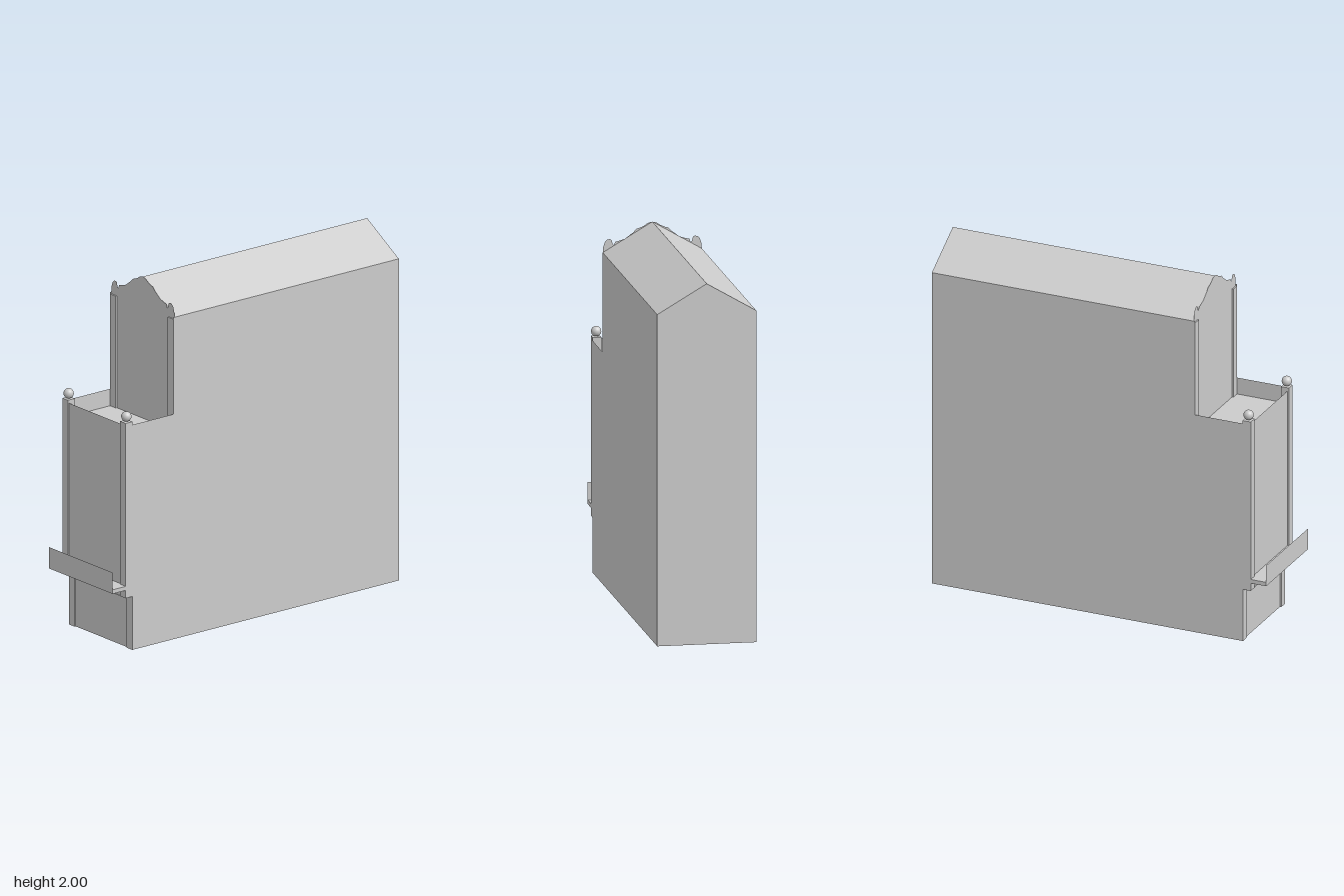
import * as THREE from 'three';

const W = 0.273, BACK = -0.995, UPPER = 0.572, LOWER = 0.903, BASE = 0.857;
const EAVES = 1.84, RIDGE = 2, DECK = 1.19, PARAPET = 1.287, JUT = 0.305;
const POST = 0.048, RECESS = 0.008;

export function createModel() {
  const model = new THREE.Group();
  const mat = new THREE.MeshStandardMaterial({ color: 0xcccccc, side: THREE.DoubleSide });

  const add = (name, geometry, x = 0, y = 0, z = 0) => {
    const mesh = new THREE.Mesh(geometry, mat);
    mesh.name = name;
    mesh.position.set(x, y, z);
    model.add(mesh);
    return mesh;
  };
  const outline = (pts) => new THREE.ShapeGeometry(new THREE.Shape(pts.map(([a, b]) => new THREE.Vector2(a, b))));
  // Box given by its extents
  const box = (name, x0, x1, y0, y1, z0, z1) =>
    add(name, new THREE.BoxGeometry(x1 - x0, y1 - y0, z1 - z0), (x0 + x1) / 2, (y0 + y1) / 2, (z0 + z1) / 2);
  // Upright sheet facing the front
  const wall = (name, halfWidth, y0, y1, z) =>
    add(name, new THREE.PlaneGeometry(halfWidth * 2, y1 - y0), 0, (y0 + y1) / 2, z);
  // Level sheet
  const deck = (name, halfWidth, y, z0, z1) =>
    add(name, new THREE.PlaneGeometry(halfWidth * 2, z1 - z0).rotateX(-Math.PI / 2), 0, y, (z0 + z1) / 2);

  // Side walls, stepped in profile (z, y)
  const profile = [[BACK, 0], [BASE, 0], [BASE, JUT], [LOWER, JUT], [LOWER, PARAPET],
    [UPPER, PARAPET], [UPPER, EAVES], [BACK, EAVES]];
  for (const s of [-1, 1]) {
    const side = add(s > 0 ? 'leftWall' : 'rightWall', outline(profile.map(([z, y]) => [-z, y])), s * W);
    side.rotation.y = Math.PI / 2;
  }

  // Back wall with its plain gable
  add('backWall', outline([[-W, 0], [W, 0], [W, EAVES], [0, RIDGE], [-W, EAVES]]).rotateY(Math.PI), 0, 0, BACK);

  // Pitched roof
  const slope = Math.hypot(W, RIDGE - EAVES), pitch = Math.atan2(RIDGE - EAVES, W);
  const roofLength = UPPER - RECESS - BACK;
  for (const s of [-1, 1]) {
    const roof = add(s > 0 ? 'leftRoof' : 'rightRoof',
      new THREE.PlaneGeometry(slope, roofLength).rotateX(-Math.PI / 2),
      s * W / 2, (EAVES + RIDGE) / 2, (UPPER - RECESS + BACK) / 2);
    roof.rotation.z = -s * pitch;
  }

  // Upper front wall with ornamental gable and scrolled shoulders
  const crest = [[W, EAVES], [0.271, 1.87], [0.262, 1.897], [0.25, 1.91], [0.235, 1.913], [0.224, 1.907],
    [0.219, 1.885], [0.211, 1.877], [0.205, 1.897], [0.185, 1.901], [0.15, 1.912], [0.125, 1.931],
    [0.105, 1.945], [0.088, 1.964], [0.07, 1.969], [0.045, 1.98], [0.025, 1.994]];
  const mirrored = crest.map(([x, y]) => [-x, y]).reverse();
  add('gableWall', outline([[-W, DECK], [W, DECK], ...crest, [0, RIDGE], ...mirrored]), 0, 0, UPPER - RECESS);

  // Lower front: base wall, jutting storey and roof terrace
  wall('baseWall', W, 0, JUT, BASE - RECESS);
  wall('lowerFrontWall', W - POST, JUT, PARAPET, LOWER - RECESS);
  deck('jutUnderside', W, JUT, BASE - RECESS, LOWER);
  deck('terraceFloor', W, DECK, UPPER - RECESS, LOWER - RECESS);

  // Ledge with its upright front board
  box('ledge', -W, W, 0.35, 0.373, LOWER - RECESS, 0.994);
  wall('ledgeBoard', W, 0.35, 0.472, 0.995);

  // Pilasters, corner posts and ball finials on both sides
  for (const s of [-1, 1]) {
    const [x0, x1] = s > 0 ? [W - POST, W] : [-W, POST - W];
    box('basePilaster', x0, x1, 0, JUT, BASE - RECESS, BASE);
    box('cornerPost', x0, x1, JUT, 1.305, LOWER - POST, LOWER);
    box('upperPilaster', x0, x1, DECK, 1.83, UPPER - RECESS, UPPER);
    add('ballFinial', new THREE.SphereGeometry(0.028, 24, 16), s * (W - POST / 2), 1.334, LOWER - POST / 2);
  }
  return model;
}
